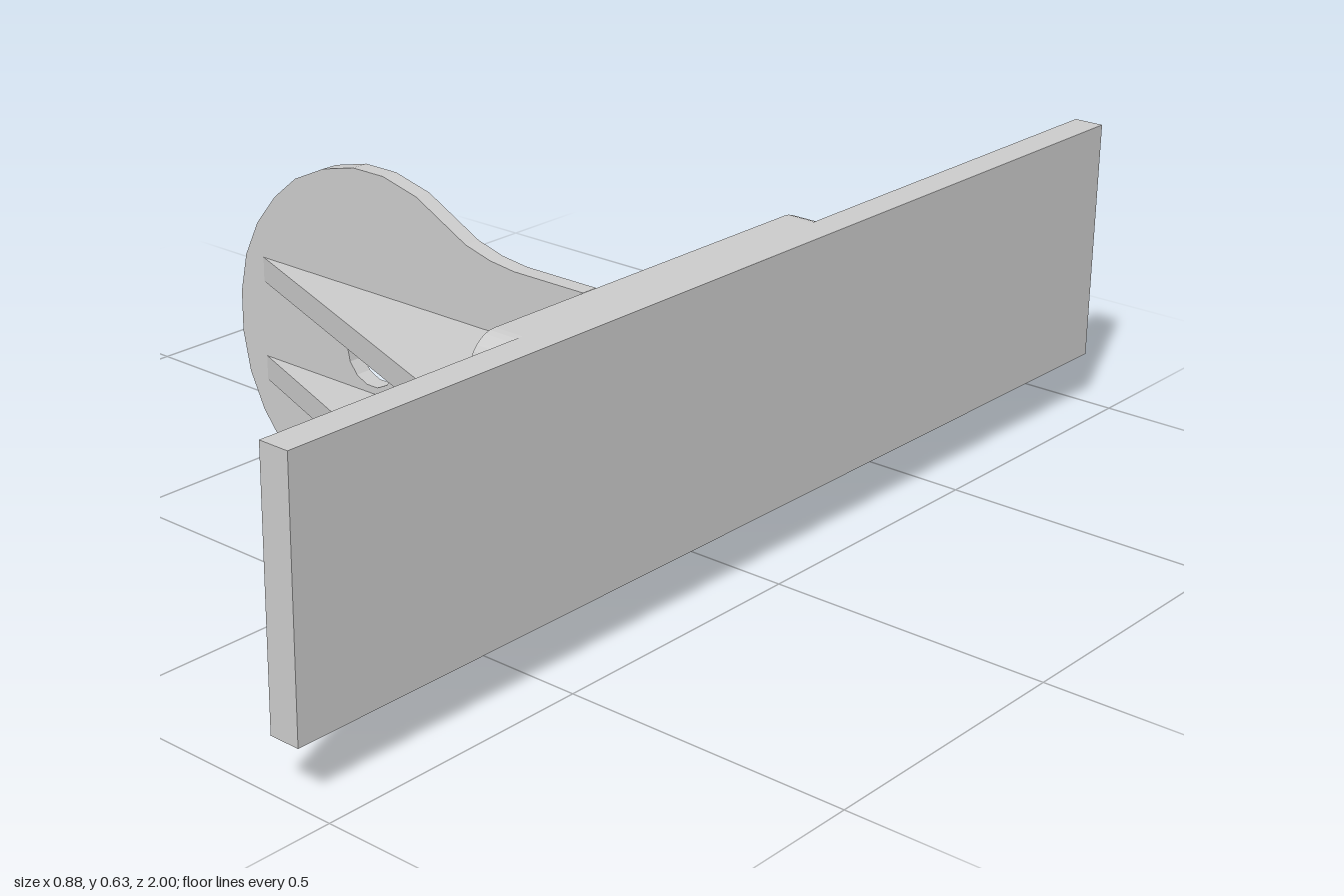
import * as THREE from 'three';

const material = new THREE.MeshStandardMaterial({ color: 0xcccccc, flatShading: true });
const MID = 0.3165; // height of the symmetry plane

function add(group, name, geometry, x = 0, y = 0, z = 0) {
  const mesh = new THREE.Mesh(geometry, material);
  mesh.name = name;
  mesh.position.set(x, y, z);
  group.add(mesh);
}

const extrude = (shape, depth) =>
  new THREE.ExtrudeGeometry(shape, { depth, bevelEnabled: false, curveSegments: 4 });

// Round ear with a neck; the upper half outline is mirrored
function earShape() {
  const upper = [
    [0.332, 0.222], [0.19, 0.222], [0.139, 0.228], [0.087, 0.242], [-0.02, 0.297],
    [-0.094, 0.315], [-0.162, 0.315], [-0.233, 0.298], [-0.3, 0.267], [-0.352, 0.224],
    [-0.397, 0.169], [-0.428, 0.106], [-0.443, 0.036],
  ];
  const lower = upper.map(([x, y]) => [x, -y]).reverse();
  const shape = new THREE.Shape([...upper, ...lower].map(([x, y]) => new THREE.Vector2(x, y)));
  const hole = [];
  for (let i = 0; i < 14; i++) {
    const a = -i / 14 * Math.PI * 2;
    hole.push(new THREE.Vector2(-0.13 + 0.056 * Math.cos(a), 0.056 * Math.sin(a)));
  }
  shape.holes.push(new THREE.Path(hole));
  return shape;
}

// Rectangle with rounded corners, centred on the origin
function roundedRect(w, h, r) {
  const s = new THREE.Shape(), a = w / 2, b = h / 2;
  s.moveTo(-a + r, -b);
  s.lineTo(a - r, -b).absarc(a - r, -b + r, r, -Math.PI / 2, 0);
  s.lineTo(a, b - r).absarc(a - r, b - r, r, 0, Math.PI / 2);
  s.lineTo(-a + r, b).absarc(-a + r, b - r, r, Math.PI / 2, Math.PI);
  s.lineTo(-a, -b + r).absarc(-a + r, -b + r, r, Math.PI, Math.PI * 1.5);
  return s;
}

export function createModel() {
  const group = new THREE.Group();
  group.name = 'bracket';

  // Long mounting plate
  add(group, 'mountingPlate', new THREE.BoxGeometry(0.055, 0.443, 2), 0.4145, MID, 0);

  // Rounded pad on the plate
  const pad = extrude(roundedRect(0.802, 0.443, 0.055), 0.055).rotateY(Math.PI / 2);
  add(group, 'pad', pad, 0.332, MID, 0.139);

  // Ear with hole
  add(group, 'ear', extrude(earShape(), 0.03), 0, MID, 0.26);

  // Two triangular ribs bracing the ear against the pad
  const rib = new THREE.Shape([
    [-0.39, 0.288], [0.332, 0.288], [0.332, 0.54], [0.27, 0.54],
  ].map(([x, z]) => new THREE.Vector2(x, z)));
  for (const [name, top] of [['upperRib', 0.427], ['lowerRib', 0.249]]) {
    add(group, name, extrude(rib, 0.043).rotateX(Math.PI / 2), 0, top, 0);
  }

  // Tiny marker at the hole centre
  add(group, 'centreMarker', new THREE.BoxGeometry(0.01, 0.01, 0.01), -0.13, MID, 0.26);
  return group;
}
